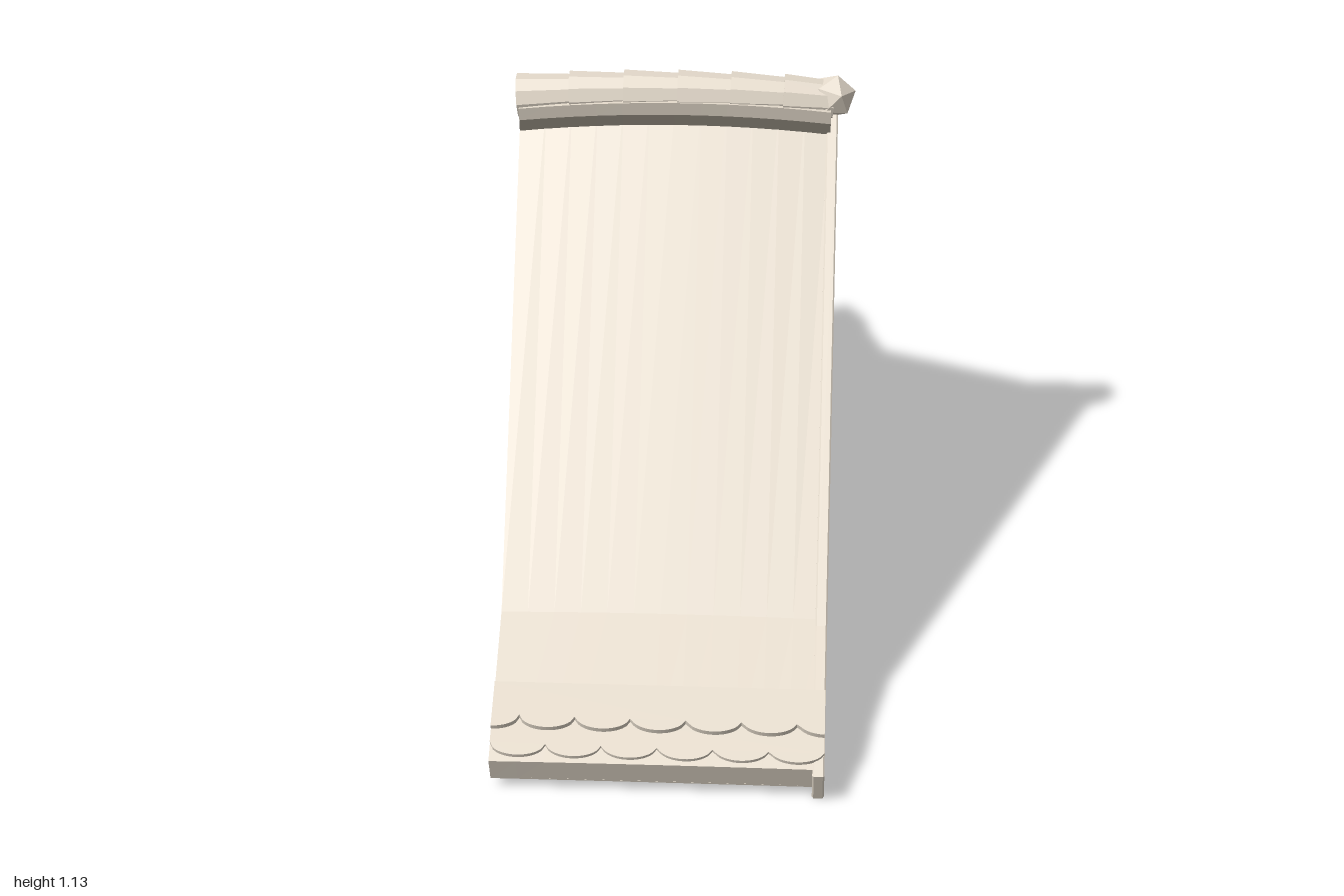
import * as THREE from 'three';

const LEFT = -0.35, RIGHT = 0.3;

// Gentle upward bow of the ridge, 1 in the middle and about 0 at both ends
const bow = x => 1 - (x / 0.34) ** 2;

// Join a half profile of [z, y] points with its mirror image, running from -z to +z
const mirrored = half => [...half.filter(p => p[0] > 0).reverse().map(([z, y]) => [-z, y]), ...half];

const toShape = pts => new THREE.Shape(pts.map(p => new THREE.Vector2(...p)));

// Solid: extrude a closed, symmetric [z, y] outline along x
function alongX(outline, x0, x1, steps, bevel = 0) {
  const geo = new THREE.ExtrudeGeometry(toShape(outline), {
    depth: x1 - x0 - 2 * bevel, steps, bevelEnabled: bevel > 0,
    bevelSize: bevel, bevelThickness: bevel, bevelOffset: -bevel, bevelSegments: 1,
  });
  return geo.rotateY(Math.PI / 2).translate(x0 + bevel, 0, 0);
}

// Open sheet: sweep a [z, y] line along x; it faces up when z increases
function sheet(line) {
  const cols = 12;
  const geo = new THREE.PlaneGeometry(1, 1, cols, line.length - 1);
  line.forEach(([z, y], row) => {
    for (let c = 0; c <= cols; c++) {
      const x = LEFT + (RIGHT - LEFT) * c / cols;
      geo.attributes.position.setXYZ(row * (cols + 1) + c, x, y, z);
    }
  });
  geo.computeVertexNormals();
  return geo;
}

// Raise the vertices along the bow, fading to nothing at the eaves
function bend(geo, amount) {
  const p = geo.attributes.position;
  for (let i = 0; i < p.count; i++) {
    p.setY(i, p.getY(i) + amount * bow(p.getX(i)) * p.getY(i));
  }
  geo.computeVertexNormals();
  return geo;
}

// Sheet of round-ended shingles, sloping down from (y, z) at the given tilt
function shingleRow(side, y, z, length, tilt, phase) {
  const pitch = 0.111, depth = 0.03, x0 = LEFT, x1 = 0.314, n = 96;
  const pts = [[side * x1, 0], [side * x0, 0]];
  for (let i = 0; i <= n; i++) {
    const x = x0 + (x1 - x0) * i / n;
    const t = (x - x0) / pitch + phase;
    const u = 2 * (t - Math.floor(t)) - 1;
    pts.push([side * x, length - depth * (1 - Math.sqrt(Math.max(0, 1 - u * u)))]);
  }
  const geo = new THREE.ExtrudeGeometry(toShape(pts), { depth: 0.016, bevelEnabled: false });
  geo.rotateX(Math.PI / 2 + tilt).translate(0, y, z);
  if (side < 0) geo.rotateY(Math.PI);
  return geo;
}

export function createModel() {
  const group = new THREE.Group();
  group.name = 'roofSection';
  const clay = new THREE.MeshStandardMaterial({ color: 0xe5dbcc, flatShading: true, side: THREE.DoubleSide });
  clay.name = 'paleClay';
  const shade = new THREE.MeshStandardMaterial({ color: 0x847e73, flatShading: true });
  shade.name = 'darkUnderside';

  const add = (name, geo, material = clay) => {
    const mesh = new THREE.Mesh(geo, material);
    mesh.name = name;
    group.add(mesh);
  };

  // Bent roof skin with flared eaves, its dark underside and pale inner lining
  const outer = [[0, 1.056], [0.67, 0.226], [0.985, 0.085], [0.96, 0.024]];
  const inner = [[0, 0.964], [0.633, 0.17], [0.96, 0.024]];
  const lining = [[0, 0.969], [0.636, 0.175], [0.962, 0.029]];
  add('roofSkin', bend(sheet(mirrored(outer)), 0.02));
  add('roofUnderside', sheet(mirrored(inner).reverse()), shade);
  add('roofLining', sheet(mirrored(lining)));

  // Closed end of the back slope; the front slope is left open
  const endOutline = [...outer, ...inner.slice(0, 2).reverse()].map(([z, y]) => [-z, y]);
  add('backSlopeEnd', new THREE.ShapeGeometry(toShape(endOutline)).rotateY(-Math.PI / 2).translate(LEFT, 0, 0));

  // Board closing the gable end
  const boardTop = [[0, 1.066], [0.692, 0.226], [1, 0.08]];
  const boardBottom = [[0, 0.958], [0.635, 0.158], [0.965, 0]];
  add('gableBoard', alongX([...mirrored(boardTop), ...mirrored(boardBottom).reverse()], 0.291, 0.315, 1, 0.003));

  // Bedding under the ridge tiles, with a dark undercut strip
  const base = mirrored([[0.043, 1.036], [0.05, 1.066]]);
  const undercut = mirrored([[0.036, 1.0], [0.043, 1.036]]);
  add('ridgeBase', bend(alongX(base, LEFT, RIGHT, 12), 0.018));
  add('ridgeUndercut', bend(alongX(undercut, LEFT, RIGHT, 12), 0.018), shade);

  // Overlapping tapered ridge tiles following the bow
  const edges = [-0.355, -0.245, -0.132, -0.02, 0.09, 0.2, 0.305];
  const ridgeY = x => 1.073 + 0.014 * bow(x);
  for (let i = 0; i < 6; i++) {
    const a = edges[i], b = edges[i + 1] + (i < 5 ? 0.01 : 0);
    const dy = ridgeY(b) - ridgeY(a);
    const geo = new THREE.CylinderGeometry(0.04, 0.047, Math.hypot(b - a, dy), 10);
    geo.rotateZ(-Math.PI / 2).rotateZ(Math.atan2(dy, b - a));
    geo.translate((a + b) / 2, (ridgeY(a) + ridgeY(b)) / 2, 0);
    add('ridgeTile', geo);
  }

  // Faceted finial on the gable end of the ridge
  const finial = new THREE.IcosahedronGeometry(0.048, 0).rotateZ(-0.74);
  add('ridgeFinial', finial.translate(0.304, 1.085, 0));

  // Two staggered shingle rows on each eave
  for (const side of [1, -1]) {
    const where = side > 0 ? 'front' : 'back';
    add(where + 'LowerShingles', shingleRow(side, 0.143, 0.86, 0.127, 0.36, 0));
    add(where + 'UpperShingles', shingleRow(side, 0.167, 0.83, 0.105, 0.36, 0.5));
  }
  return group;
}
